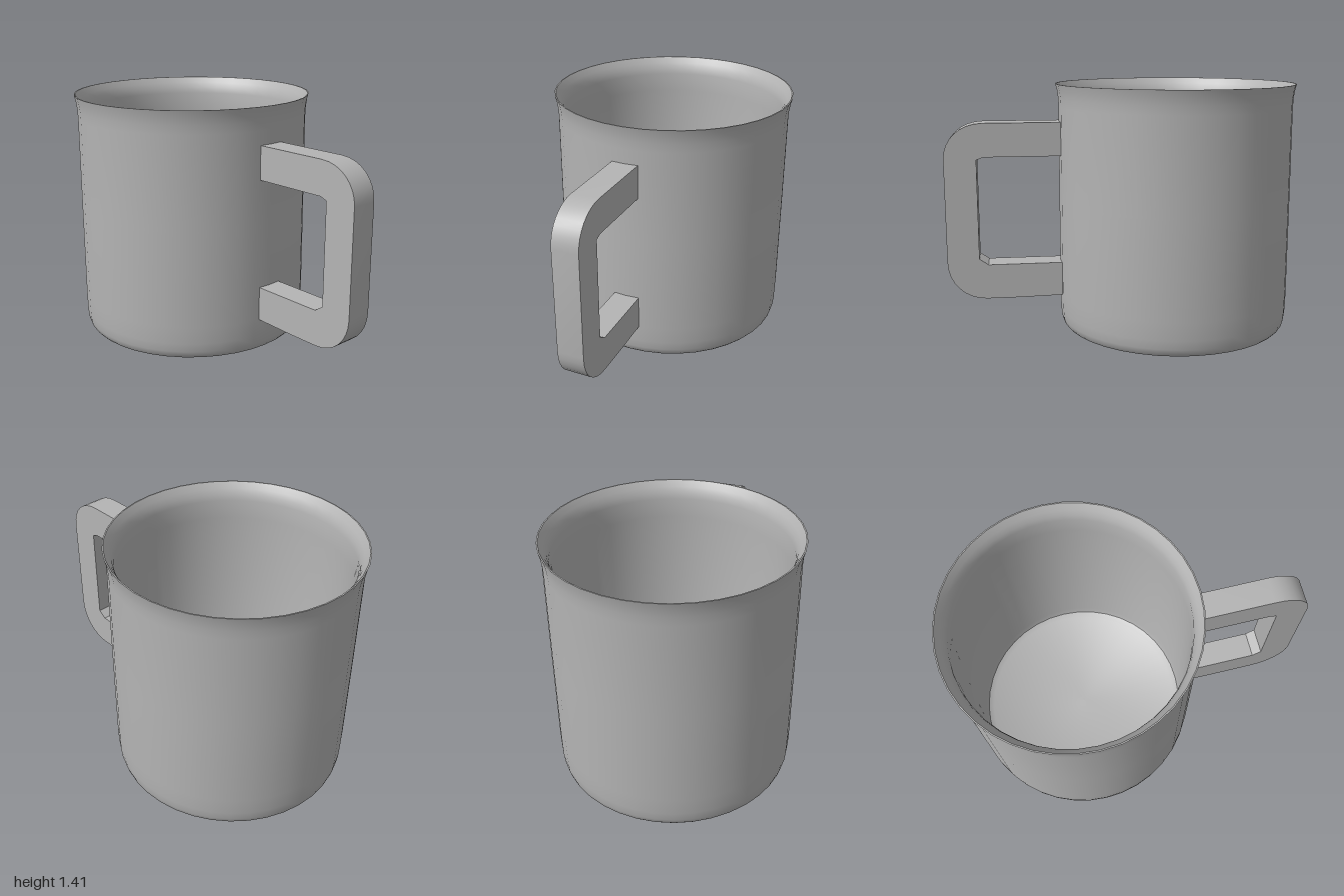
import * as THREE from 'three';
import { toCreasedNormals } from 'three/addons/utils/BufferGeometryUtils.js';

const CENTRE_X = -0.315;

export function createModel() {
  const group = new THREE.Group();
  group.name = 'mug';
  const grey = new THREE.MeshStandardMaterial({ color: 0xb4b4b4 });
  grey.name = 'grey';

  // Cup: one closed wall profile, from the base outwards, over the lip and down to the inner floor
  const profile = [
    [0, 0], [0.625, 0], [0.643, 0.007], [0.656, 0.022], [0.664, 0.05], [0.669, 0.1], [0.671, 0.2],
    [0.67, 0.75], [0.668, 1.28], [0.67, 1.33], [0.676, 1.375], [0.685, 1.41],
    [0.678, 1.41], [0.655, 1.375], [0.64, 1.345], [0.632, 1.31],
    [0.63, 1.2], [0.63, 0.12], [0.62, 0.075], [0.59, 0.055], [0, 0.05],
  ].map(([r, y]) => new THREE.Vector2(r, y));
  const cup = new THREE.Mesh(toCreasedNormals(new THREE.LatheGeometry(profile, 40), 0.65), grey);
  cup.name = 'cup';
  cup.position.x = CENTRE_X;
  group.add(cup);

  // Handle: square-section bracket with rounded outer corners and small inner chamfers
  const shape = new THREE.Shape();
  shape.moveTo(0.335, 0.195);
  shape.lineTo(0.6, 0.19);
  shape.lineTo(0.78, 0.19);
  shape.bezierCurveTo(0.91, 0.19, 1, 0.29, 1, 0.41);
  shape.lineTo(1, 1.0);
  shape.bezierCurveTo(1, 1.11, 0.91, 1.2, 0.78, 1.2);
  shape.lineTo(0.335, 1.2);
  shape.lineTo(0.335, 1.01);
  shape.lineTo(0.78, 1.01);
  shape.lineTo(0.82, 0.995);
  shape.lineTo(0.82, 0.425);
  shape.lineTo(0.77, 0.39);
  shape.lineTo(0.335, 0.39);
  shape.closePath();
  const depth = 0.15;
  const bracket = new THREE.ExtrudeGeometry(shape, { depth, bevelEnabled: false, curveSegments: 8 });
  bracket.translate(0, 0, -depth / 2 - 0.004);
  const handle = new THREE.Mesh(toCreasedNormals(bracket, 0.6), grey);
  handle.name = 'handle';
  group.add(handle);

  return group;
}
